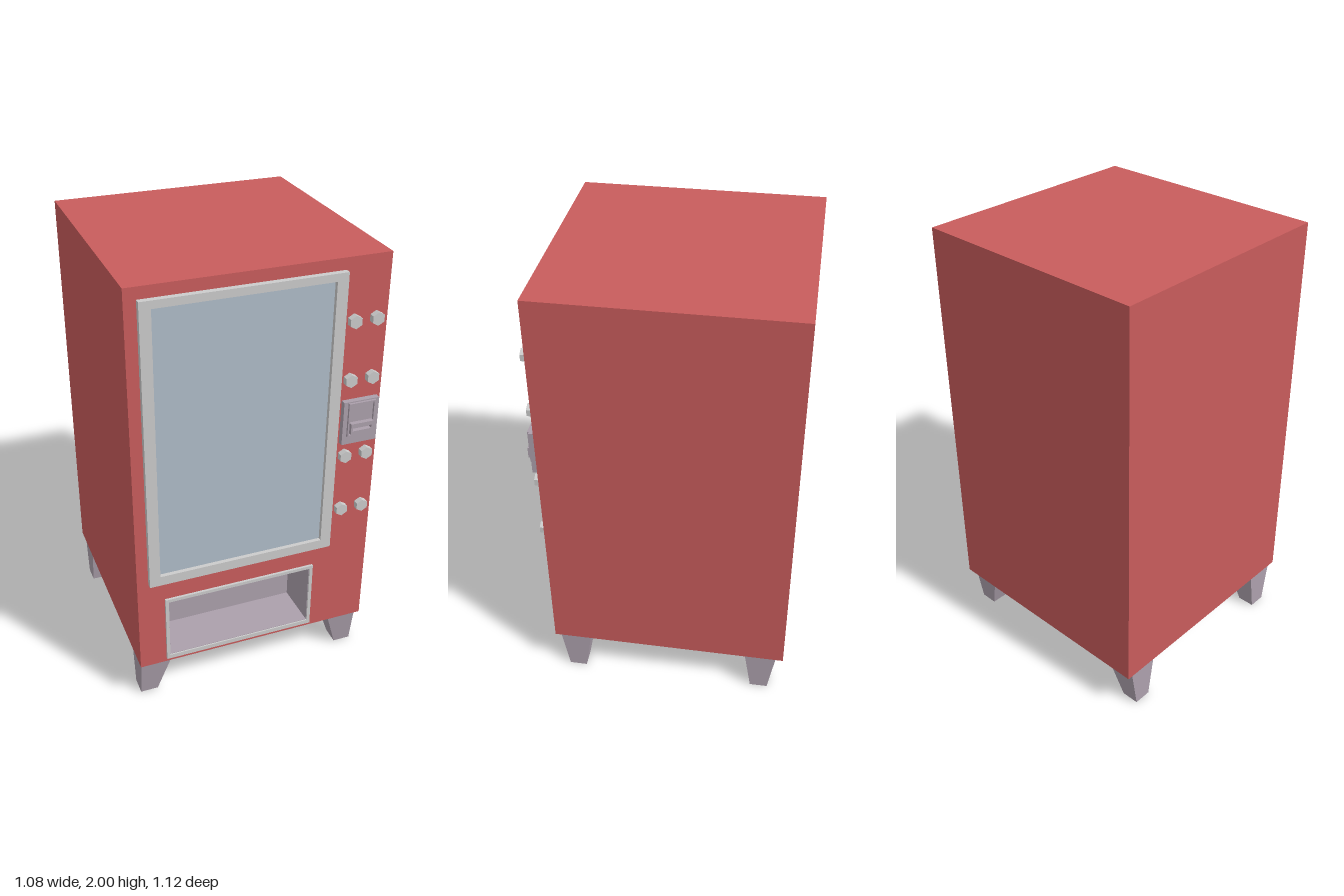
import * as THREE from 'three';

const mat = (color) => new THREE.MeshStandardMaterial({ color, flatShading: true });
const red = mat(0xc85c5c), grey = mat(0xcccccc), mauve = mat(0xaca0ac), glass = mat(0xafbcc8);
const FRONT = 0.515; // z of the cabinet's front face

export function createModel() {
  const model = new THREE.Group();
  model.name = 'vendingMachine';

  const add = (name, geometry, material, parent = model) => {
    const mesh = new THREE.Mesh(geometry, material);
    mesh.name = name;
    parent.add(mesh);
    return mesh;
  };

  // Box given by its limits
  const block = (name, [x0, x1], [y0, y1], [z0, z1], material, parent) =>
    add(name, new THREE.BoxGeometry(x1 - x0, y1 - y0, z1 - z0), material, parent)
      .position.set((x0 + x1) / 2, (y0 + y1) / 2, (z0 + z1) / 2);

  const corners = ([x0, x1], [y0, y1]) =>
    [[x0, y0], [x1, y0], [x1, y1], [x0, y1]].map(([x, y]) => new THREE.Vector2(x, y));

  // Rectangular plate with a rectangular hole
  const frame = (name, xs, ys, holeXs, holeYs, [z0, z1], material, parent) => {
    const shape = new THREE.Shape(corners(xs, ys));
    shape.holes.push(new THREE.Path(corners(holeXs, holeYs).reverse()));
    const geometry = new THREE.ExtrudeGeometry(shape, { depth: z1 - z0, bevelEnabled: false });
    geometry.translate(0, 0, z0);
    add(name, geometry, material, parent);
  };

  // Cabinet: solid rear and a front section cut out for the tray
  const trayX = [-0.405, 0.26], trayY = [0.245, 0.545], trayBack = 0.31;
  const cabinet = new THREE.Group();
  cabinet.name = 'cabinet';
  model.add(cabinet);
  block('cabinetRear', [-0.54, 0.54], [0.205, 2], [-0.56, trayBack], red, cabinet);
  frame('cabinetFront', [-0.54, 0.54], [0.205, 2], trayX, trayY, [trayBack, FRONT], red, cabinet);

  // Window
  frame('windowFrame', [-0.49, 0.345], [0.66, 1.95], [-0.443, 0.297], [0.705, 1.917], [FRONT, 0.54], grey);
  block('windowGlass', [-0.443, 0.297], [0.705, 1.917], [0.5, 0.522], glass);

  // Pick-up tray: rim and an open liner that narrows slightly to the back
  frame('trayRim', [-0.42, 0.275], [0.225, 0.56], trayX, trayY, [FRONT, 0.526], grey);
  const liner = new THREE.Group();
  liner.name = 'trayLiner';
  model.add(liner);
  const [x0, x1] = trayX, [y0, y1] = trayY, e = 0.002, t = 0.008;
  block('trayBack', trayX, trayY, [trayBack - 0.01, trayBack + 0.005], mauve, liner);
  block('trayFloor', [x0, x1], [y0 - t, y0 + e], [trayBack, 0.52], mauve, liner);
  block('trayCeiling', [x0, x1], [y1 - e, y1 + t], [trayBack, 0.52], mauve, liner);
  for (const [x, s] of [[x0, 1], [x1, -1]]) {
    const wall = new THREE.BoxGeometry(t, y1 - y0, 0.52 - trayBack);
    const p = wall.attributes.position;
    for (let i = 0; i < p.count; i++) {
      if (p.getX(i) * s > 0 && p.getZ(i) < 0) p.setX(i, p.getX(i) + s * 0.005);
    }
    wall.computeVertexNormals();
    add('traySide', wall, mauve, liner)
      .position.set(x + s * (e - t / 2), (y0 + y1) / 2, (0.52 + trayBack) / 2);
  }

  // Hexagonal selection buttons
  const button = new THREE.CylinderGeometry(0.029, 0.029, 0.035, 6).rotateX(Math.PI / 2);
  for (const y of [1.735, 1.475, 1.115, 0.845]) {
    for (const x of [0.391, 0.489]) {
      add('selectionButton', button, grey).position.set(x, y, FRONT + 0.0085);
    }
  }

  // Coin panel with a raised frame and a slot
  const coin = new THREE.Group();
  coin.name = 'coinPanel';
  model.add(coin);
  block('coinPlate', [0.365, 0.525], [1.18, 1.38], [0.5, 0.54], mauve, coin);
  frame('coinFrame', [0.384, 0.506], [1.22, 1.375], [0.391, 0.499], [1.227, 1.368], [0.54, 0.55], mauve, coin);
  frame('coinSlot', [0.394, 0.496], [1.234, 1.284], [0.402, 0.488], [1.25, 1.266], [0.54, 0.56], mauve, coin);

  // Tapered legs: the outer side is upright, the other three lean in
  for (const side of [-1, 1]) {
    for (const z of [0.418, -0.455]) {
      const leg = new THREE.BoxGeometry(0.145, 0.205, 0.145);
      const p = leg.attributes.position;
      for (let i = 0; i < p.count; i++) {
        if (p.getY(i) > 0) continue;
        if (p.getX(i) * side < 0) p.setX(i, p.getX(i) + side * 0.065);
        p.setZ(i, p.getZ(i) * 0.55);
      }
      leg.computeVertexNormals();
      add('leg', leg, mauve).position.set(side * 0.4575, 0.1025, z);
    }
  }
  return model;
}
